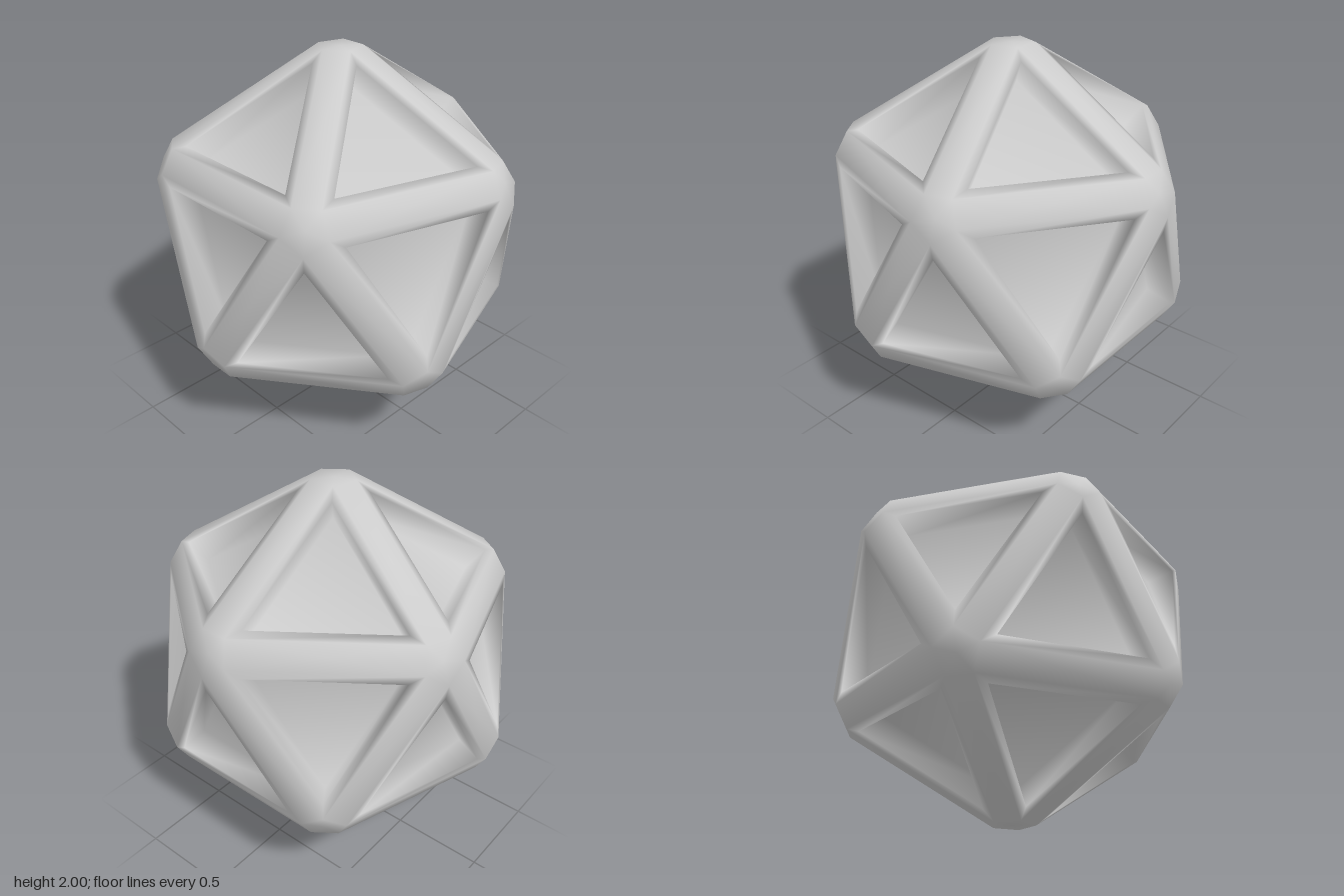
import * as THREE from 'three';

const FACE_DIST = 0.866;  // centre to face plane
const CORNER_R = 0.514;   // face triangle, centre to corner
const RIM_R = 0.429;      // opening of the recess
const DEPTH = 0.15;       // depth of the recess

// Icosahedron directions: a pole, two staggered rings of five, a pole
function icosahedronVertices() {
  const list = [new THREE.Vector3(0, 1, 0), new THREE.Vector3(0, -1, 0)];
  const h = 1 / Math.sqrt(5), r = 2 * h;
  for (let i = 0; i < 5; i++) {
    const a = (i * 2 * Math.PI) / 5;
    list.push(new THREE.Vector3(r * Math.cos(a), h, r * Math.sin(a)));
    list.push(new THREE.Vector3(-r * Math.cos(a), -h, -r * Math.sin(a)));
  }
  return list;
}

export function createModel() {
  const verts = icosahedronVertices();
  const adjacent = (a, b) => a !== b && verts[a].dot(verts[b]) > 0.4;
  const points = [], index = [];
  const addPoint = (p) => points.push(p) - 1;
  const quad = (a, b, c, d) => index.push(a, b, c, a, c, d);

  // Flat polygon facing outwards, fanned around its own centre
  function cap(ids) {
    const centre = new THREE.Vector3();
    ids.forEach((i) => centre.addScaledVector(points[i], 1 / ids.length));
    const n = centre.clone().normalize();
    const u = points[ids[0]].clone().sub(centre).normalize();
    const w = n.clone().cross(u);
    const angle = (i) => {
      const d = points[i].clone().sub(centre);
      return Math.atan2(d.dot(w), d.dot(u));
    };
    const order = [...ids].sort((a, b) => angle(a) - angle(b));
    const c = addPoint(centre);
    order.forEach((id, k) => index.push(c, id, order[(k + 1) % order.length]));
  }

  // Triangular faces: rim, straight walls and floor of each recess
  const faces = [];
  for (let a = 0; a < 12; a++) for (let b = a + 1; b < 12; b++) for (let c = b + 1; c < 12; c++) {
    if (!(adjacent(a, b) && adjacent(b, c) && adjacent(a, c))) continue;
    const turn = verts[a].dot(verts[b].clone().cross(verts[c]));
    const corners = turn > 0 ? [a, b, c] : [a, c, b];
    const n = verts[a].clone().add(verts[b]).add(verts[c]).normalize();
    const ring = (radius, dist) => corners.map((v) => {
      const dir = verts[v].clone().addScaledVector(n, -verts[v].dot(n)).normalize();
      return addPoint(dir.multiplyScalar(radius).addScaledVector(n, dist));
    });
    const outer = ring(CORNER_R, FACE_DIST);
    const rim = ring(RIM_R, FACE_DIST);
    const floor = ring(RIM_R, FACE_DIST - DEPTH);
    for (let i = 0; i < 3; i++) {
      const j = (i + 1) % 3;
      quad(outer[i], outer[j], rim[j], rim[i]);
      quad(rim[i], rim[j], floor[j], floor[i]);
    }
    index.push(...floor);
    faces.push({ corners, outer });
  }
  const cornerAt = (f, v) => f.outer[f.corners.indexOf(v)];

  // Pentagon caps at the hubs and flat strips along the bars
  for (let a = 0; a < 12; a++) {
    const around = faces.filter((f) => f.corners.includes(a));
    cap(around.map((f) => cornerAt(f, a)));
    for (let b = a + 1; b < 12; b++) {
      if (!adjacent(a, b)) continue;
      const pair = around.filter((f) => f.corners.includes(b));
      cap(pair.flatMap((f) => [cornerAt(f, a), cornerAt(f, b)]));
    }
  }

  const geometry = new THREE.BufferGeometry().setFromPoints(points);
  geometry.setIndex(index);
  geometry.translate(0, 1, 0);
  geometry.computeVertexNormals();

  const body = new THREE.Mesh(geometry, new THREE.MeshStandardMaterial({ color: 0xcccccc }));
  body.name = 'recessedIcosahedron';
  const group = new THREE.Group();
  group.name = 'model';
  group.add(body);
  return group;
}
